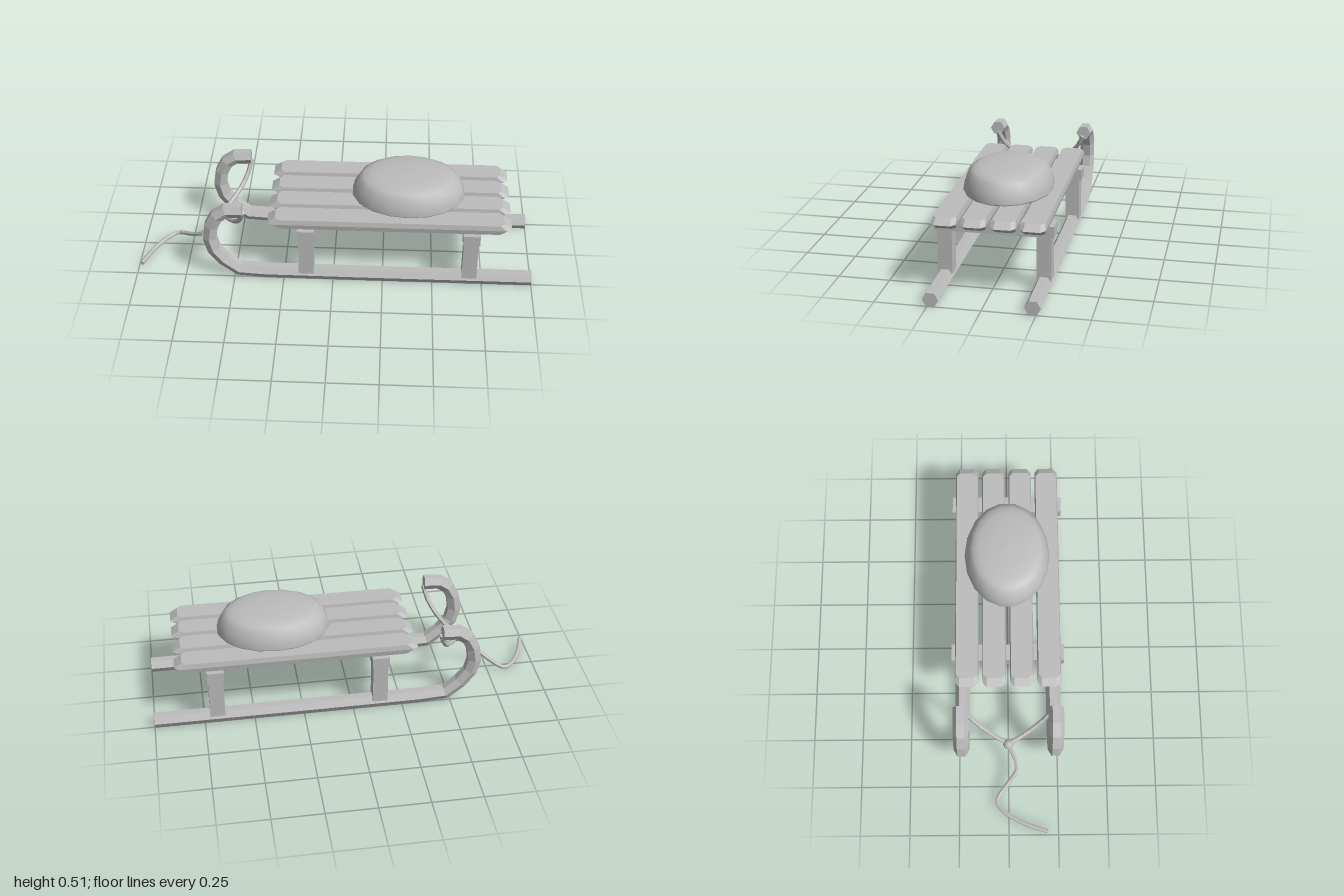
import * as THREE from 'three';

const V = (p) => new THREE.Vector3(...p);

// Skin a stack of rings (counter-clockwise about the direction of travel), with flat faces and end caps
function loft(rings) {
  const pos = [];
  const tri = (a, b, c) => [a, b, c].forEach((v) => pos.push(v.x, v.y, v.z));
  const n = rings[0].length;
  for (let i = 0; i < rings.length - 1; i++) {
    for (let k = 0; k < n; k++) {
      const j = (k + 1) % n;
      const [a, b, c, d] = [rings[i][k], rings[i][j], rings[i + 1][j], rings[i + 1][k]];
      tri(a, b, c);
      tri(a, c, d);
    }
  }
  const first = rings[0], last = rings[rings.length - 1];
  for (let k = 1; k < n - 1; k++) {
    tri(first[0], first[k + 1], first[k]);
    tri(last[0], last[k], last[k + 1]);
  }
  const g = new THREE.BufferGeometry();
  g.setAttribute('position', new THREE.Float32BufferAttribute(pos, 3));
  g.computeVertexNormals();
  return g;
}

// Six-sided bar along a path; ref points at one of its corners
function hexSweep(points, radius, ref) {
  const rings = points.map((p, i) => {
    const t = new THREE.Vector3();
    if (i > 0) t.add(p.clone().sub(points[i - 1]).normalize());
    if (i < points.length - 1) t.add(points[i + 1].clone().sub(p).normalize());
    t.normalize();
    const b = ref.clone().addScaledVector(t, -ref.dot(t)).normalize();
    const n = t.clone().cross(b);
    return Array.from({ length: 6 }, (_, k) => {
      const a = (k * Math.PI) / 3;
      return p.clone().addScaledVector(b, Math.cos(a) * radius).addScaledVector(n, Math.sin(a) * radius);
    });
  });
  return loft(rings);
}

// Plank outline with clipped corners at a given height
function plankRing(hx, hz, clipX, clipZ, y) {
  const q = [[hx, hz - clipZ], [hx - clipX, hz]];
  const half = [[q[0][0], -q[0][1]], [q[0][0], q[0][1]], [q[1][0], q[1][1]], [-q[1][0], q[1][1]],
    [-q[0][0], q[0][1]], [-q[0][0], -q[0][1]], [-q[1][0], -q[1][1]], [q[1][0], -q[1][1]]];
  return half.map(([x, z]) => new THREE.Vector3(x, y, -z));
}

export function createModel() {
  const group = new THREE.Group();
  const gray = new THREE.MeshStandardMaterial({ color: 0xbcbcbc });
  gray.name = 'plain gray';
  const add = (name, geometry, x = 0, y = 0, z = 0) => {
    const m = new THREE.Mesh(geometry, gray);
    m.name = name;
    m.position.set(x, y, z);
    group.add(m);
    return m;
  };
  const zAxis = new THREE.Vector3(0, 0, 1);
  const yAxis = new THREE.Vector3(0, 1, 0);

  // Runners with curled fronts
  const runnerPath = [[1, 0.036], [0.2, 0.036], [-0.34, 0.038], [-0.475, 0.046], [-0.55, 0.105], [-0.6, 0.17],
    [-0.618, 0.24], [-0.607, 0.315], [-0.577, 0.375], [-0.53, 0.408], [-0.45, 0.412]].map(([x, y]) => V([x, y, 0]));
  const runner = hexSweep(runnerPath, 0.038, zAxis);

  // Posts, runners and ropes to the runner tips, mirrored
  for (const s of [1, -1]) {
    const side = s > 0 ? 'left' : 'right';
    add(side + 'Runner', runner, 0, 0, s * 0.235);
    for (const x of [-0.135, 0.685]) {
      add(side + 'Post', new THREE.BoxGeometry(0.075, 0.23, 0.07), x, 0.165, s * 0.235);
    }
    const bridle = new THREE.CatmullRomCurve3([[-0.58, 0.215, 0], [-0.545, 0.235, s * 0.07],
      [-0.5, 0.272, s * 0.145], [-0.465, 0.33, s * 0.2], [-0.447, 0.395, s * 0.232]].map(V));
    add(side + 'BridleRope', hexSweep(bridle.getPoints(8), 0.012, yAxis));
  }

  // Cross beams under the seat
  for (const x of [-0.135, 0.685]) {
    add('crossBeam', new THREE.BoxGeometry(0.085, 0.056, 0.566), x, 0.295, 0);
  }

  // Seat slats with bevelled ends
  const slat = loft([
    plankRing(0.565, 0.054, 0.02, 0.018, -0.026),
    plankRing(0.603, 0.059, 0.025, 0.02, 0),
    plankRing(0.565, 0.054, 0.02, 0.018, 0.026),
  ]);
  for (const z of [-0.206, -0.069, 0.069, 0.206]) add('seatSlat', slat, 0.277, 0.35, z);

  // Cushion
  const dome = [[0, 0], [0.98, 0], [1, 0.008], [0.965, 0.05], [0.88, 0.095], [0.79, 0.11],
    [0.65, 0.124], [0.35, 0.13], [0, 0.134]].map(([r, y]) => new THREE.Vector2(r, y));
  const cushion = add('cushion', new THREE.LatheGeometry(dome, 18), 0.37, 0.375, 0);
  cushion.scale.set(0.285, 1, 0.218);

  // Knot and trailing pull rope
  const knot = new THREE.SphereGeometry(0.027, 8, 6).toNonIndexed();
  knot.computeVertexNormals();
  add('ropeKnot', knot, -0.585, 0.217, 0);
  const tail = new THREE.CatmullRomCurve3([[-0.585, 0.215, 0], [-0.63, 0.165, 0.028], [-0.69, 0.108, 0.04],
    [-0.755, 0.062, -0.01], [-0.83, 0.03, -0.06], [-0.885, 0.023, -0.02], [-0.94, 0.021, 0.07],
    [-0.985, 0.024, 0.195]].map(V));
  add('pullRope', hexSweep(tail.getPoints(18), 0.012, yAxis));

  return group;
}
